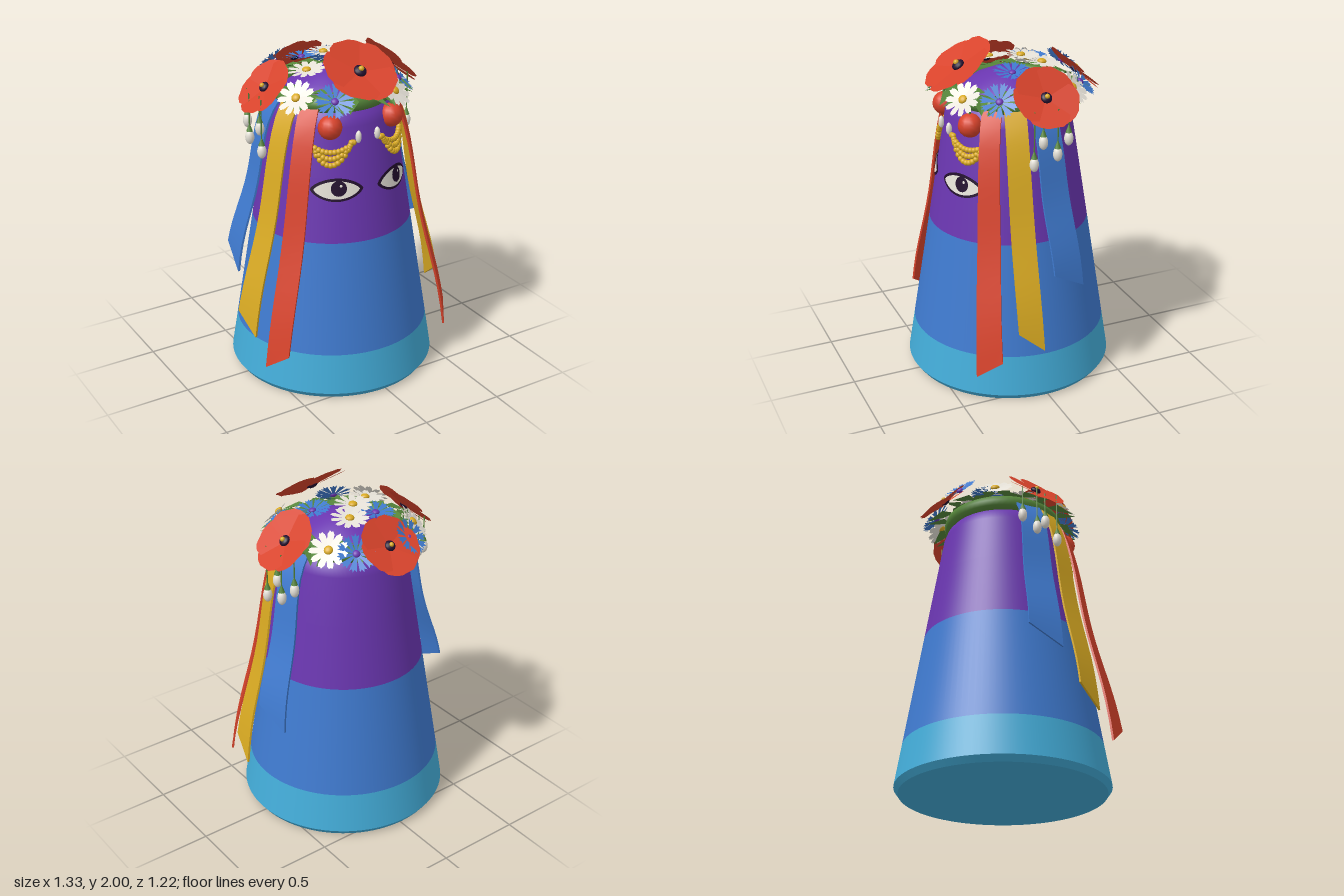
import * as THREE from 'three';
import { mergeGeometries } from 'three/addons/utils/BufferGeometryUtils.js';

const CX = -0.015; // axis of the cone
const mat = (name, color, double) => {
  const m = new THREE.MeshStandardMaterial({ color });
  m.name = name;
  if (double) m.side = THREE.DoubleSide;
  return m;
};

export function createModel() {
  const root = new THREE.Group();
  root.name = 'floweredCone';
  const purple = mat('purple', 0x6a36b0), blue = mat('blue', 0x3f7acf, true), teal = mat('teal', 0x43acd8);
  const red = mat('red', 0xd8432b, true), gold = mat('gold', 0xd9aa22), green = mat('green', 0x55853a, true);
  const white = mat('white', 0xe8e4da, true), dark = mat('dark', 0x230f2e, true);

  const add = (parent, name, geo, m, x = 0, y = 0, z = 0) => {
    const mesh = new THREE.Mesh(geo, m);
    mesh.name = name;
    mesh.position.set(x, y, z);
    parent.add(mesh);
    return mesh;
  };
  const bodyR = y => y < 1.58 ? 0.61 - (y - 0.035) * 0.1618 : 0.36 - (y - 1.58) * 0.3;
  const v2 = pts => pts.map(p => new THREE.Vector2(p[0], p[1]));
  // point around the axis; angle runs from +x towards +z
  const polar = (a, r, y) => new THREE.Vector3(CX + r * Math.cos(a), y, r * Math.sin(a));

  // Body bands
  const lathe = pts => new THREE.LatheGeometry(v2(pts), 96);
  add(root, 'bottomCap', new THREE.CircleGeometry(0.585, 96).rotateX(Math.PI / 2), teal, CX, 0, 0);
  add(root, 'bottomChamfer', lathe([[0.585, 0], [0.61, 0.035]]), teal, CX);
  add(root, 'lowerBand', lathe([[0.61, 0.035], [bodyR(0.27), 0.27]]), teal, CX);
  add(root, 'middleBand', lathe([[bodyR(0.27), 0.27], [bodyR(0.93), 0.93]]), blue, CX);
  add(root, 'head', lathe([[bodyR(0.93), 0.93], [bodyR(1.3), 1.3], [0.36, 1.58], [0.342, 1.63], [0.31, 1.67],
    [0.27, 1.71], [0.2, 1.765], [0.1, 1.81], [0, 1.825]]), purple, CX);

  // Eyes wrapped on the cone
  const wrap = (geo, ex, ey, lift) => {
    const p = geo.attributes.position;
    for (let i = 0; i < p.count; i++) {
      const y = ey + p.getY(i), a = Math.PI / 2 - (Math.asin((ex - CX) / bodyR(ey)) + p.getX(i) / bodyR(ey));
      const q = polar(a, bodyR(y) + lift, y);
      p.setXYZ(i, q.x, q.y, q.z);
    }
    geo.computeVertexNormals();
    return geo;
  };
  const almond = (w, h) => {
    const g = new THREE.PlaneGeometry(2, 2, 24, 4), p = g.attributes.position;
    for (let i = 0; i < p.count; i++) {
      const u = p.getX(i);
      p.setXY(i, u * w, p.getY(i) * h * Math.pow(Math.max(0, 1 - u * u), 0.75));
    }
    return g;
  };
  for (const s of [-1, 1]) {
    const ex = CX + s * 0.19, eye = new THREE.Group();
    eye.name = s > 0 ? 'leftEye' : 'rightEye';
    root.add(eye);
    add(eye, 'eyeOutline', wrap(almond(0.152, 0.066), ex, 1.236, 0.004), dark);
    add(eye, 'eyeWhite', wrap(almond(0.13, 0.051), ex, 1.236, 0.007), white);
    add(eye, 'iris', wrap(new THREE.CircleGeometry(0.044, 24), ex + 0.01, 1.246, 0.01), dark);
    add(eye, 'pupil', wrap(new THREE.CircleGeometry(0.008, 10), ex + 0.022, 1.262, 0.013), white);
  }

  // Wreath ring
  add(root, 'wreath', new THREE.TorusGeometry(0.31, 0.048, 10, 64).rotateX(Math.PI / 2), green, CX, 1.7, 0);

  // Ribbons: thin boxes bent down the cone with a slanted end
  const ribbon = (name, m, side, a0, a1, w0, w1, yEnd, slant) => {
    const g = new THREE.BoxGeometry(1, 1, 0.012, 1, 14, 1), p = g.attributes.position;
    for (let i = 0; i < p.count; i++) {
      const t = 0.5 - p.getY(i), v = -p.getX(i);
      const deg = THREE.MathUtils.lerp(a0, a1, t);
      const a = THREE.MathUtils.degToRad(side > 0 ? deg : 180 - deg);
      const y = 1.7 + (yEnd - 1.7) * t;
      const r = bodyR(y) + 0.01 + 0.095 * Math.pow(t, 0.6) + 0.01 * Math.sin(t * 9) + p.getZ(i);
      const w = v * THREE.MathUtils.lerp(w0, w1, t), q = polar(a, r, y - slant * v * Math.pow(t, 5));
      p.setXYZ(i, q.x - Math.sin(a) * w, q.y, q.z + Math.cos(a) * w);
    }
    g.computeVertexNormals();
    add(root, name, g, m);
  };
  for (const s of [-1, 1]) {
    ribbon('redRibbon', red, s, 38, 32, 0.11, 0.15, 0.25, 0.1);
    ribbon('goldRibbon', gold, s, 17, 11.5, 0.12, 0.15, 0.41, -0.12);
    ribbon('blueRibbon', blue, s, -8, -11, 0.15, 0.2, 0.73, -0.11);
  }

  // Petal rings: each petal lies along +x and is repeated around z
  const ring = (pts, n, tilt, step = 0) => {
    const list = [];
    for (let i = 0; i < n; i++) {
      const g = new THREE.ShapeGeometry(new THREE.Shape(v2(pts)));
      list.push(g.rotateX(step).rotateY(-tilt).rotateZ((i + 0.25) * Math.PI * 2 / n));
    }
    return mergeGeometries(list);
  };
  const fan = [[0, 0]];
  [0.86, 0.97, 0.99, 1, 0.97, 1, 0.96, 0.84].forEach((r, i) => {
    const a = (i / 7 - 0.5) * 1.65;
    fan.push([r * Math.cos(a), r * Math.sin(a)]);
  });
  const poppyGeo = ring(fan, 5, 0.1, 0.07);
  const daisyGeo = ring([[0.1, -0.05], [0.45, -0.15], [0.8, -0.17], [0.97, -0.09], [0.93, 0], [1, 0.08], [0.8, 0.17], [0.45, 0.15], [0.1, 0.05]], 11, 0.08, 0.1);
  const cornGeo = ring([[0.08, -0.03], [0.68, -0.14], [0.95, -0.2], [0.85, -0.07], [1.02, 0], [0.85, 0.07], [0.95, 0.2], [0.68, 0.14], [0.08, 0.03]], 11, 0.16, 0.12);
  const ball = new THREE.SphereGeometry(1, 14, 10);
  const Z = new THREE.Vector3(0, 0, 1);
  const flower = (name, geo, m, pos, nrm, size, heartMat, heart) => {
    const f = new THREE.Group();
    f.name = name;
    f.position.set(...pos);
    f.quaternion.setFromUnitVectors(Z, new THREE.Vector3(...nrm).normalize());
    f.scale.setScalar(size);
    add(f, 'petals', geo, m);
    add(f, 'heart', ball, heartMat, 0, 0, 0.05).scale.set(heart, heart, heart * 0.6);
    if (heartMat === dark) add(f, 'stamen', ball, gold, 0, 0, 0.14).scale.setScalar(0.075);
    root.add(f);
  };

  // Poppies
  [[[-0.015, 1.865, 0.295], [0, 0.82, 0.57], 0.215], [[0.405, 1.765, -0.04], [0.72, 0.69, 0], 0.19],
    [[-0.42, 1.75, -0.04], [-0.72, 0.69, 0], 0.18], [[-0.015, 1.755, -0.41], [0, 0.72, -0.69], 0.18]]
    .forEach(([p, n, s]) => flower('poppy', poppyGeo, red, p, n, s, dark, 0.17));
  // Daisies and cornflowers lean outwards on the rim and face up on the crown
  const lean = ([x, y, z]) => [(x - CX) * (y > 1.8 ? 0.8 : 2), y > 1.8 ? 1 : 0.75, z * (y > 1.8 ? 0.8 : 2)];
  [[-0.36, 1.75, 0.2], [0.18, 1.74, 0.35], [0.28, 1.76, -0.26], [-0.31, 1.76, -0.25],
    [-0.02, 1.88, -0.08], [0.07, 1.855, -0.17], [-0.2, 1.835, 0.04]]
    .forEach(p => flower('daisy', daisyGeo, white, p, lean(p), 0.11, gold, 0.23));
  [[-0.2, 1.74, 0.34], [0.31, 1.745, 0.19], [-0.16, 1.765, -0.4], [0.17, 1.745, -0.36],
    [-0.11, 1.84, -0.17], [0.16, 1.845, 0.05]]
    .forEach(p => flower('cornflower', cornGeo, blue, p, lean(p), 0.11, purple, 0.19));

  // Leaves, folded along the midrib
  const leafGeo = new THREE.BufferGeometry();
  leafGeo.setAttribute('position', new THREE.Float32BufferAttribute([
    0, 0, 0, 0.07, 0, 0.04, 0.17, 0, 0, 0, 0, 0, 0.17, 0, 0, 0.07, 0, -0.04], 3));
  leafGeo.attributes.position.setY(1, 0.015).setY(5, 0.015);
  leafGeo.computeVertexNormals();
  for (let i = 0; i < 30; i++) {
    const a = (i + 0.3) / 30 * Math.PI * 2, inner = i % 3 === 0;
    const leaf = add(root, 'leaf', leafGeo, green);
    leaf.position.copy(polar(a, inner ? 0.3 : 0.32, 1.745));
    leaf.rotation.set(0, -a + (inner ? 1.75 : (i % 3 === 1 ? 0.55 : -0.5)), inner ? 0.1 : -0.32);
  }

  for (const s of [-1, 1]) {
    // Berry and gold bead swags on the brow
    const at = (deg, r, y) => polar(Math.PI / 2 - s * THREE.MathUtils.degToRad(deg), r, y);
    const berry = at(32.5, 0.372, 1.588);
    add(root, 'berry', ball, red, ...berry.toArray()).scale.setScalar(0.068);
    add(root, 'berryStem', new THREE.CylinderGeometry(0.008, 0.008, 0.06, 6), green, berry.x, 1.67, berry.z);
    for (let k = 0; k < 3; k++) {
      for (let i = 0; i <= 12; i++) {
        const u = i / 6 - 1, y = 1.5 - (0.05 + 0.036 * k) * (1 - u * u);
        const bead = add(root, 'bead', ball, gold, ...at(32 + u * (19 - k), bodyR(y) + 0.015, y).toArray());
        bead.scale.setScalar(0.0165);
      }
    }
    for (const deg of [9, 54]) {
      add(root, 'swagPearl', ball, white, ...at(deg, 0.39, 1.53).toArray()).scale.set(0.017, 0.036, 0.017);
    }
    // Pearl drops at the temples
    for (const [x, y, z] of [[0.46, 1.53, -0.01], [0.485, 1.46, -0.085], [0.455, 1.53, -0.165], [0.485, 1.42, 0.055]]) {
      const px = CX + s * x;
      add(root, 'pearlDrop', ball, white, px, y, z).scale.set(0.026, 0.042, 0.026);
      add(root, 'pearlCap', new THREE.ConeGeometry(0.019, 0.05, 8), green, px, y + 0.06, z);
      add(root, 'pearlThread', new THREE.CylinderGeometry(0.004, 0.004, 1.7 - y, 5), green, px, (1.7 + y) / 2 + 0.02, z);
    }
  }
  return root;
}
